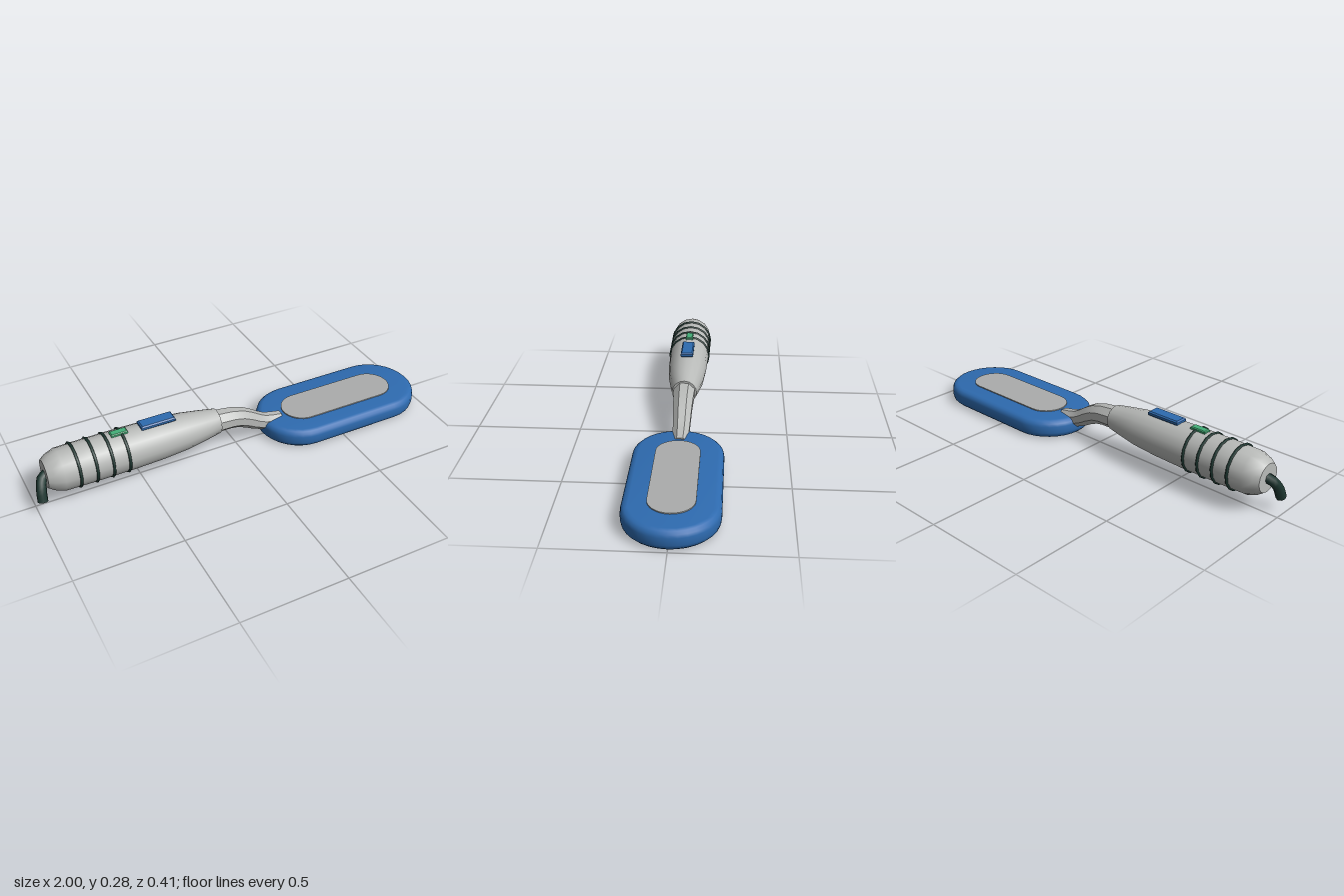
import * as THREE from 'three';
import { toCreasedNormals } from 'three/addons/utils/BufferGeometryUtils.js';

const material = (name, color) => {
  const m = new THREE.MeshStandardMaterial({ color });
  m.name = name;
  return m;
};

// Rounded-end slab lying flat, lengthwise along x, with optional bevelled rim
function slab(x0, x1, half, y0, y1, bevel) {
  const r = half - bevel, a = x0 + half, b = x1 - half;
  const shape = new THREE.Shape();
  shape.moveTo(a, -r);
  shape.lineTo(b, -r);
  shape.absarc(b, 0, r, -Math.PI / 2, Math.PI / 2, false);
  shape.lineTo(a, r);
  shape.absarc(a, 0, r, Math.PI / 2, Math.PI * 1.5, false);
  const geo = new THREE.ExtrudeGeometry(shape, {
    depth: y1 - y0 - 2 * bevel, curveSegments: 8, bevelEnabled: bevel > 0,
    bevelSize: bevel, bevelThickness: bevel, bevelSegments: 3,
  });
  geo.rotateX(-Math.PI / 2).translate(0, y0 + bevel, 0);
  return toCreasedNormals(geo, 0.65);
}

// Small block with chamfered edges
function button(w, h, d, c) {
  const shape = new THREE.Shape();
  const x = w / 2 - c, z = d / 2 - c;
  shape.moveTo(-x, -z);
  shape.lineTo(x, -z);
  shape.lineTo(x, z);
  shape.lineTo(-x, z);
  const geo = new THREE.ExtrudeGeometry(shape, {
    depth: h - 2 * c, bevelSize: c, bevelThickness: c, bevelSegments: 1,
  });
  return geo.rotateX(-Math.PI / 2).translate(0, c - h / 2, 0);
}

// Tapered octagonal bar bent along a path in the xy plane
function bentBar(path, r0, r1) {
  const geo = new THREE.CylinderGeometry(r1, r0, 1, 8, 8);
  geo.rotateY(Math.PI / 8).translate(0, 0.5, 0);
  const pos = geo.attributes.position;
  for (let i = 0; i < pos.count; i++) {
    const u = THREE.MathUtils.clamp(pos.getY(i), 0, 1);
    const p = path.getPointAt(u), t = path.getTangentAt(u), s = pos.getX(i);
    pos.setXYZ(i, p.x + t.y * s, p.y - t.x * s, pos.getZ(i));
  }
  return toCreasedNormals(geo, 0.5);
}

export function createModel() {
  const model = new THREE.Group();
  model.name = 'handheldPaddle';
  const grey = material('light grey', 0xb9bbb9);
  const metal = material('plate grey', 0xabadac);
  const blue = material('blue', 0x2e6bb0);
  const green = material('green', 0x43b078);
  const dark = material('dark green', 0x1d3630);
  const add = (name, geo, mat, x = 0, y = 0, z = 0) => {
    const mesh = new THREE.Mesh(geo, mat);
    mesh.name = name;
    mesh.position.set(x, y, z);
    model.add(mesh);
    return mesh;
  };
  const axisY = 0.165;

  // Grip turned around the x axis
  const profile = [[0, -0.94], [0.066, -0.94], [0.083, -0.915], [0.099, -0.87], [0.101, -0.75],
    [0.101, -0.55], [0.097, -0.4], [0.088, -0.27], [0.074, -0.18], [0.06, -0.1], [0, -0.1]]
    .map(([r, x]) => new THREE.Vector2(r, x));
  const grip = new THREE.LatheGeometry(profile, 16).rotateZ(-Math.PI / 2);
  add('grip', toCreasedNormals(grip, 0.6), grey, 0, axisY, 0);

  // Rubber rings round the grip
  for (const x of [-0.803, -0.727, -0.651, -0.575]) {
    add('gripRing', new THREE.TorusGeometry(0.101, 0.007, 6, 16).rotateY(Math.PI / 2), dark, x, axisY, 0);
  }

  // Controls on top of the grip
  add('powerButton', button(0.165, 0.022, 0.062, 0.006), blue, -0.403, 0.268, 0);
  add('indicatorLight', button(0.078, 0.02, 0.036, 0.004), green, -0.586, 0.265, 0);

  // Curved neck
  const neckPath = new THREE.CatmullRomCurve3([[-0.12, 0.164], [0, 0.152], [0.06, 0.126],
    [0.14, 0.082], [0.24, 0.064]].map(([x, y]) => new THREE.Vector3(x, y, 0)));
  add('neck', bentBar(neckPath, 0.056, 0.037), grey);

  // Padded head with its inset plate
  add('head', slab(0.14, 0.997, 0.205, 0, 0.09, 0.029), blue);
  add('headPlate', slab(0.265, 0.87, 0.1, 0.086, 0.095, 0), metal);

  // Cord stub drooping from the back of the grip
  const cordPath = new THREE.CatmullRomCurve3([[-0.925, 0.165, 0], [-0.953, 0.155, 0.01],
    [-0.97, 0.115, 0.038], [-0.976, 0.064, 0.058]].map((p) => new THREE.Vector3(...p)));
  add('cord', new THREE.TubeGeometry(cordPath, 8, 0.023, 8), dark);
  const cordEnd = add('cordEnd', new THREE.CircleGeometry(0.023, 8), dark, ...cordPath.getPoint(1).toArray());
  cordEnd.quaternion.setFromUnitVectors(new THREE.Vector3(0, 0, 1), cordPath.getTangent(1));

  return model;
}
